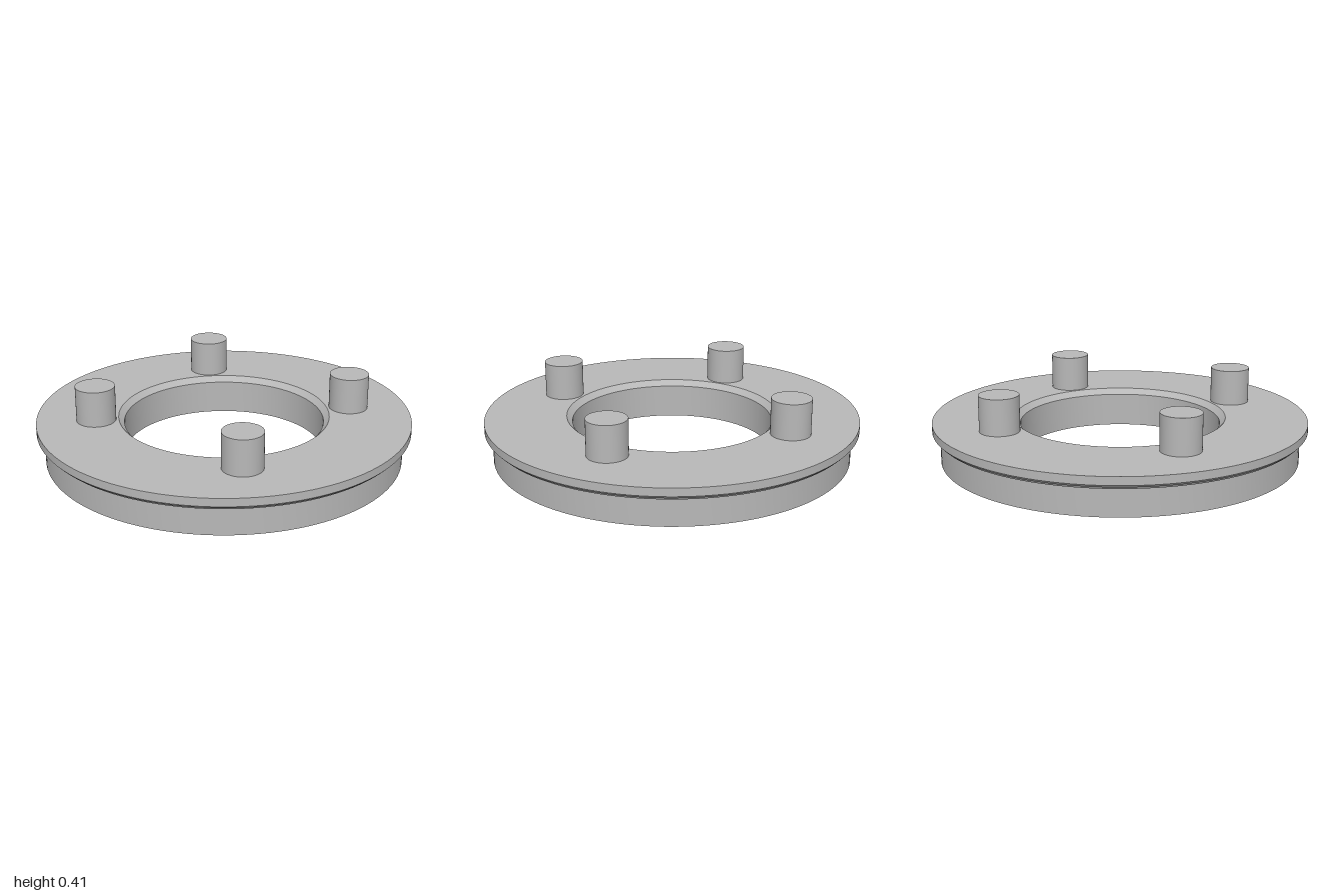
import * as THREE from 'three';
import { toCreasedNormals } from 'three/addons/utils/BufferGeometryUtils.js';

const SEGMENTS = 128;
const OUTER = 0.96, BORE = 0.535, TOP = 0.213;
const POST_ORBIT = 0.683, POST_RADIUS = 0.105, POST_TOP = 0.405;
const POCKET_ORBIT = 0.747, POCKET_RADIUS = 0.045, POCKET_DEPTH = 0.035;

// Revolve a profile of [radius, height] pairs, keeping its edges sharp
function revolve(profile, segments) {
  const points = profile.map(([r, y]) => new THREE.Vector2(r, y));
  return toCreasedNormals(new THREE.LatheGeometry(points, segments), 0.35);
}

export function createModel() {
  const group = new THREE.Group();
  const metal = new THREE.MeshStandardMaterial({ color: 0xb8b8b8 });
  metal.name = 'grey metal';

  function add(name, geometry, x = 0, y = 0, z = 0) {
    const mesh = new THREE.Mesh(geometry, metal);
    mesh.name = name;
    mesh.position.set(x, y, z);
    group.add(mesh);
  }

  // Ring: outer wall, stepped flange, flat top, chamfered bore
  add('ringBody', revolve([
    [OUTER, 0], [OUTER, 0.145], [0.975, 0.145], [0.982, 0.157],
    [0.988, 0.157], [1, 0.17], [1, TOP],
    [BORE + 0.03, TOP], [BORE, TOP - 0.03], [BORE, 0],
  ], SEGMENTS));

  // Underside, pierced by the bore and four pockets
  const underside = new THREE.Shape().absarc(0, 0, OUTER, 0, Math.PI * 2, false);
  const punch = (x, y, r) =>
    underside.holes.push(new THREE.Path().absarc(x, y, r, 0, Math.PI * 2, true));
  punch(0, 0, BORE);

  const postHeight = POST_TOP - TOP;
  const postGeometry = new THREE.CylinderGeometry(POST_RADIUS, POST_RADIUS, postHeight, 48);
  const pocketGeometry = revolve(
    [[0, POCKET_DEPTH], [POCKET_RADIUS, POCKET_DEPTH], [POCKET_RADIUS, 0]], 32);

  // Four posts on top, each with a shallow pocket below and a little further out
  for (const [x, z, side] of [[0, 1, 'front'], [1, 0, 'left'], [0, -1, 'back'], [-1, 0, 'right']]) {
    add(side + 'Post', postGeometry, x * POST_ORBIT, TOP + postHeight / 2, z * POST_ORBIT);
    add(side + 'Pocket', pocketGeometry, x * POCKET_ORBIT, 0, z * POCKET_ORBIT);
    punch(x * POCKET_ORBIT, z * POCKET_ORBIT, POCKET_RADIUS);
  }

  add('underside', new THREE.ShapeGeometry(underside, SEGMENTS).rotateX(Math.PI / 2));
  return group;
}
